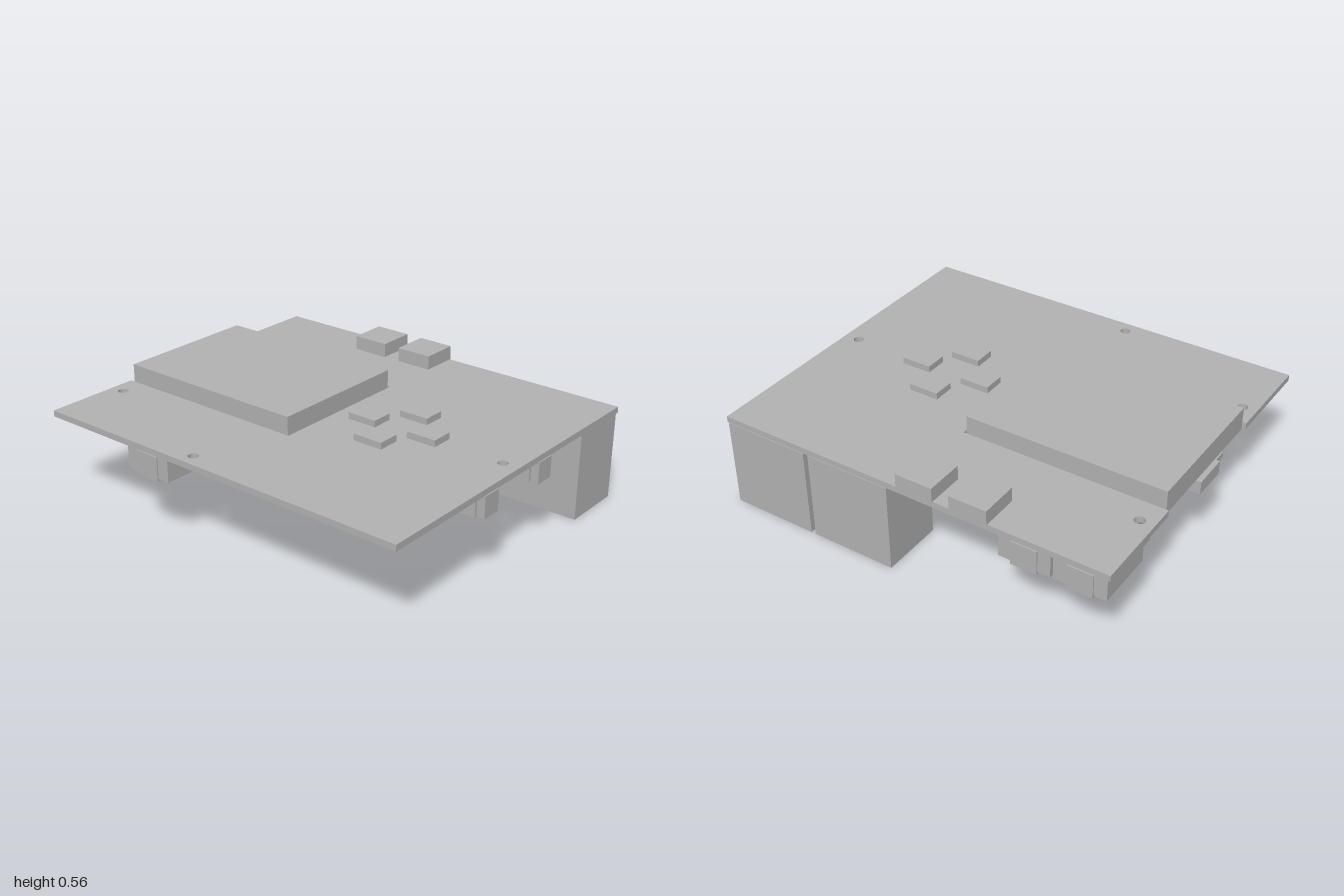
import * as THREE from 'three';

export function createModel() {
  const model = new THREE.Group();
  const grey = new THREE.MeshStandardMaterial({ color: 0xb2b2b2 });
  grey.name = 'plain grey';

  // Box given by its lower and upper limits on each axis
  function block(name, x0, x1, y0, y1, z0, z1, parent = model) {
    const mesh = new THREE.Mesh(new THREE.BoxGeometry(x1 - x0, y1 - y0, z1 - z0), grey);
    mesh.position.set((x0 + x1) / 2, (y0 + y1) / 2, (z0 + z1) / 2);
    mesh.name = name;
    parent.add(mesh);
    return mesh;
  }

  // Carrier board with a slot open to the left edge and four mounting holes
  const outline = new THREE.Shape();
  [[-0.99, -0.85], [0.995, -0.85], [0.995, 0.85], [-0.99, 0.85],
    [-0.99, 0.37], [0.03, 0.37], [0.03, -0.37], [-0.99, -0.37]]
    .forEach(([x, y], i) => (i ? outline.lineTo(x, y) : outline.moveTo(x, y)));
  for (const [x, z] of [[-0.92, -0.49], [-0.92, 0.485], [-0.145, 0.785], [0.915, 0]]) {
    const hole = new THREE.Path();
    hole.absarc(x, -z, 0.025, 0, Math.PI * 2, true);
    outline.holes.push(hole);
  }
  const boardGeometry = new THREE.ExtrudeGeometry(outline, { depth: 0.03, bevelEnabled: false, curveSegments: 12 });
  boardGeometry.rotateX(-Math.PI / 2);
  const board = new THREE.Mesh(boardGeometry, grey);
  board.position.y = 0.44;
  board.name = 'carrierBoard';
  model.add(board);

  // Computing module set into the slot
  block('module', -0.975, 0.02, 0.44, 0.555, -0.362, 0.362);
  block('modulePort', -1, -0.85, 0.375, 0.44, -0.09, 0.09);
  block('moduleChip', -0.1, -0.02, 0.365, 0.44, -0.145, 0.145);

  // Twin-row pin headers hanging below, mirrored front to back
  for (const side of [1, -1]) {
    const header = new THREE.Group();
    header.name = side > 0 ? 'frontHeader' : 'backHeader';
    block('headerPlate', -0.86, -0.1, 0.177, 0.207, side * 0.36 - 0.102, side * 0.36 + 0.102, header);
    for (const z of [0.32, 0.4]) {
      block('headerRow', -0.845, -0.107, 0.207, 0.44, side * z - 0.026, side * z + 0.026, header);
      block('headerPins', -0.845, -0.117, 0.147, 0.177, side * z - 0.018, side * z + 0.018, header);
    }
    model.add(header);
  }

  // Tall socket housings at the back
  block('tallSocket', 0.095, 0.525, 0, 0.44, -0.853, -0.54);
  block('tallSocket', 0.55, 0.985, 0, 0.44, -0.853, -0.54);

  // Edge connectors: body with a narrower, deeper mouth
  for (const [x, side] of [[-0.365, 1], [-0.855, -1], [-0.595, -1]]) {
    const connector = new THREE.Group();
    connector.name = 'edgeConnector';
    block('connectorBody', -0.124, 0.124, 0.335, 0.44, 0.56, 0.85, connector);
    block('connectorMouth', -0.063, 0.063, 0.322, 0.44, 0.815, 0.856, connector);
    connector.position.x = x;
    if (side < 0) connector.rotation.y = Math.PI;
    model.add(connector);
  }

  // Side sockets under the model's left edge
  for (const z of [0.207, -0.207]) {
    block('sideSocket', 0.705, 0.96, 0.335, 0.44, z - 0.061, z + 0.061);
    block('sideSocketMouth', 0.96, 1, 0.335, 0.44, z - 0.05, z + 0.05);
  }

  // Ribbon connectors on top at the back
  for (const x of [-0.325, -0.053]) {
    block('ribbonConnector', x - 0.093, x + 0.093, 0.47, 0.54, -0.855, -0.665);
  }

  // Four flat chips arranged in a diamond
  for (const [x, z] of [[0.192, 0], [0.523, 0], [0.358, -0.168], [0.358, 0.168]]) {
    block('chip', x - 0.076, x + 0.076, 0.47, 0.502, z - 0.055, z + 0.055);
  }
  return model;
}
